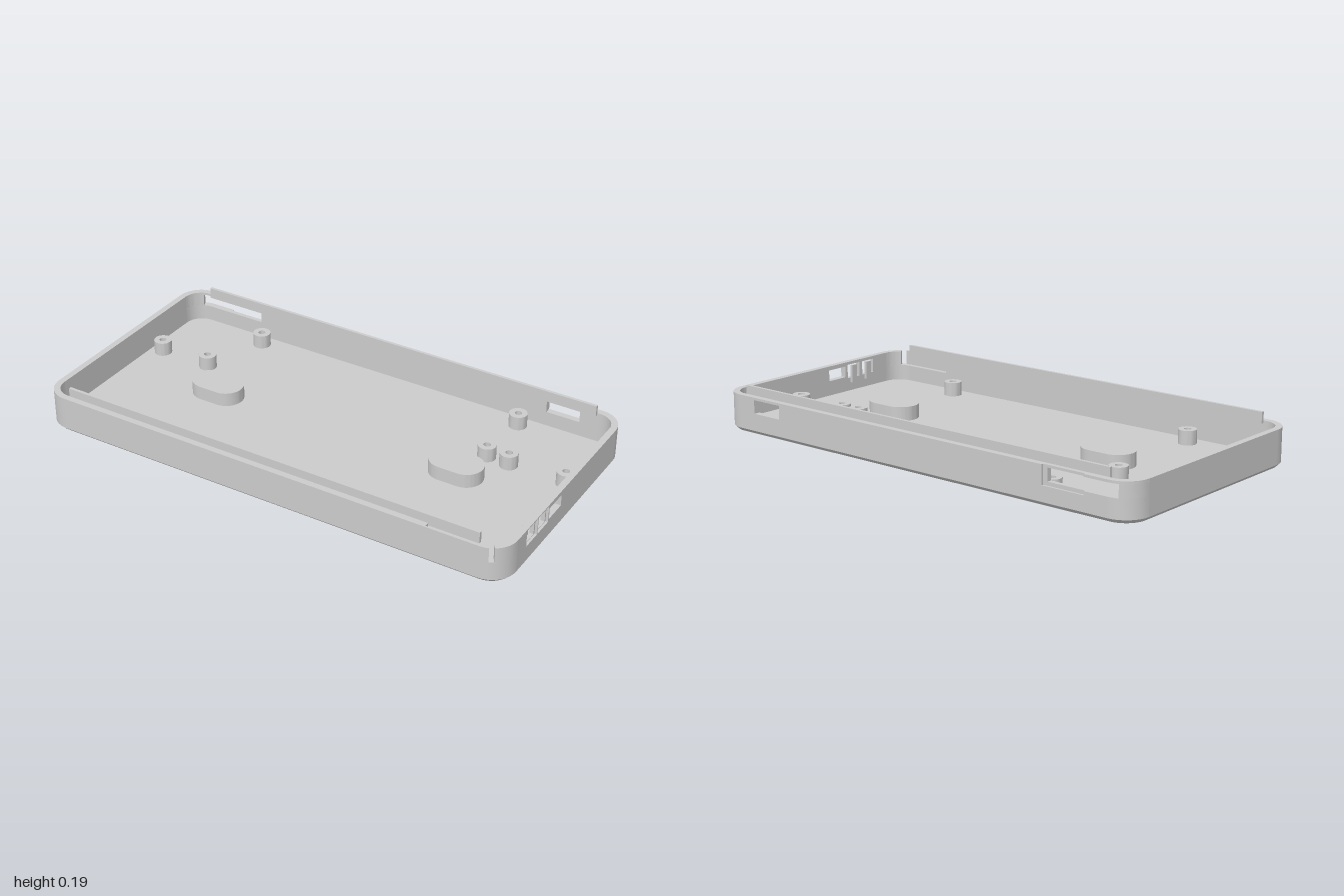
import * as THREE from 'three';
import { mergeGeometries, toCreasedNormals } from 'three/addons/utils/BufferGeometryUtils.js';

const CX = 0.9, CZ = 0.405, R = 0.1, T = 0.026; // corner centres, corner radius, wall thickness
const TOP = 0.15, FLOOR = 0.025, CHAMFER = 0.015;
const material = new THREE.MeshStandardMaterial({ color: 0xcccccc, side: THREE.DoubleSide });

function add(group, name, geometries) {
  const flat = geometries.map((g) => {
    const n = g.index ? g.toNonIndexed() : g;
    n.deleteAttribute('uv');
    return n;
  });
  const mesh = new THREE.Mesh(toCreasedNormals(mergeGeometries(flat), 0.5), material);
  mesh.name = name;
  group.add(mesh);
}

// Plan shape (x, z) raised from y0 to y1
function slab(shape, y0, y1) {
  const g = new THREE.ExtrudeGeometry(shape, { depth: y1 - y0, bevelEnabled: false, curveSegments: 14 });
  return g.rotateX(Math.PI / 2).translate(0, y1, 0);
}

function box(x0, x1, y0, y1, z0, z1) {
  return new THREE.BoxGeometry(x1 - x0, y1 - y0, z1 - z0)
    .translate((x0 + x1) / 2, (y0 + y1) / 2, (z0 + z1) / 2);
}

// Rounded outline of the tray for a given corner radius
function outline(r) {
  const pts = [];
  [[1, 1], [-1, 1], [-1, -1], [1, -1]].forEach(([sx, sz], q) => {
    for (let i = 0; i <= 10; i++) {
      const a = (q + i / 10) * Math.PI / 2;
      pts.push(new THREE.Vector2(sx * CX + r * Math.cos(a), sz * CZ + r * Math.sin(a)));
    }
  });
  return pts;
}

function circle(x, z, r) {
  return new THREE.Path().absarc(x, z, r, 0, Math.PI * 2);
}

function capsule(Kind, x, half, r) {
  const p = new Kind();
  p.absarc(x + half, 0, r, -Math.PI / 2, Math.PI / 2);
  p.absarc(x - half, 0, r, Math.PI / 2, Math.PI * 1.5);
  p.closePath();
  return p;
}

// Keyhole: a round entry with a narrower slot
function keyhole(x) {
  const r = 0.043, w = 0.02, a = Math.asin(w / r), p = new THREE.Path();
  p.absarc(x + 0.045, 0, r, -Math.PI + a, Math.PI - a);
  p.absarc(x - 0.05, 0, w, Math.PI / 2, Math.PI * 1.5);
  p.closePath();
  return p;
}

// Part of a curved corner wall, angles measured from the x axis
function cornerWall(sx, sz, a0, a1, y0, y1) {
  const pts = [], n = 10;
  const put = (r, a) => pts.push(new THREE.Vector2(sx * (CX + r * Math.cos(a)), sz * (CZ + r * Math.sin(a))));
  for (let i = 0; i <= n; i++) put(R, a0 + (a1 - a0) * i / n);
  for (let i = n; i >= 0; i--) put(R - T, a0 + (a1 - a0) * i / n);
  return slab(new THREE.Shape(pts), y0, y1);
}

// Straight wall layer from u = -half to half with rectangular openings [u0, u1, y0, y1]
function wallLayer(half, holes, makeBox) {
  const cuts = (lo, hi, k) => [...new Set([lo, hi, ...holes.flatMap((h) => [h[k], h[k + 1]])])].sort((a, b) => a - b);
  const us = cuts(-half, half, 0), ys = cuts(CHAMFER, TOP, 2), out = [];
  for (let i = 0; i < us.length - 1; i++) {
    for (let j = 0; j < ys.length - 1; j++) {
      const u = (us[i] + us[i + 1]) / 2, y = (ys[j] + ys[j + 1]) / 2;
      if (holes.some((h) => u > h[0] && u < h[1] && y > h[2] && y < h[3])) continue;
      out.push(makeBox(us[i], us[i + 1], ys[j], ys[j + 1]));
    }
  }
  return out;
}
const alongX = (z0, z1) => (u0, u1, y0, y1) => box(u0, u1, y0, y1, z0, z1);
const alongZ = (x0, x1) => (u0, u1, y0, y1) => box(x0, x1, y0, y1, u0, u1);

// Sloping band around the bottom edge
function chamferBand() {
  const low = outline(R - CHAMFER), high = outline(R), n = low.length, pos = [], idx = [];
  for (let i = 0; i < n; i++) {
    pos.push(low[i].x, 0, low[i].y, high[i].x, CHAMFER, high[i].y);
    const a = 2 * i, b = 2 * ((i + 1) % n);
    idx.push(a, a + 1, b, b, a + 1, b + 1);
  }
  const g = new THREE.BufferGeometry();
  g.setAttribute('position', new THREE.Float32BufferAttribute(pos, 3));
  g.setIndex(idx);
  g.computeVertexNormals();
  return g;
}

export function createModel() {
  const tray = new THREE.Group();
  tray.name = 'enclosureTray';
  const H = Math.PI / 2, ZO = CZ + R, ZI = ZO - T, XI = 1 - T;
  const posts = [[-0.6, -0.42], [0.59, -0.42], [-0.6, 0.41], [0.59, 0.41], [-0.915, -0.155],
    [-0.69, -0.155], [0.59, -0.16], [0.685, -0.155], [0.92, -0.155]];
  const pads = [-0.53, 0.545];

  // Floor with screw holes and keyholes; the lower layer also has round foot recesses
  const floorLayer = (y0, y1, feet) => {
    const s = new THREE.Shape(outline(R - CHAMFER));
    posts.forEach(([x, z]) => s.holes.push(circle(x, z, 0.026)));
    pads.forEach((x) => s.holes.push(keyhole(x)));
    if (feet) for (const x of [-0.805, 0.805]) for (const z of [-0.412, 0.412]) s.holes.push(circle(x, z, 0.068));
    return slab(s, y0, y1);
  };
  add(tray, 'floor', [floorLayer(0, 0.008, true), floorLayer(0.008, FLOOR, false)]);
  add(tray, 'bottomChamfer', [chamferBand()]);

  // Front wall with an inner pocket at one end
  add(tray, 'frontWall', [
    ...wallLayer(CX, [], alongX(0.498, ZO)),
    ...wallLayer(CX, [[0.69, CX, 0.09, TOP]], alongX(ZI, 0.498)),
  ]);

  // Back wall with two ports, one of them in an outer recess
  const ports = [[-CX, -0.64, 0.09, 0.14], [0.68, 0.82, 0.085, 0.14]];
  add(tray, 'backWall', [
    ...wallLayer(CX, [...ports, [-0.8, -0.62, 0.075, TOP]], alongX(-ZO, -0.497)),
    ...wallLayer(CX, ports, alongX(-0.497, -ZI)),
  ]);

  // Side walls; the +x one has three ports, two sharing an outer recess
  const small = [0.06, 0.157, 0.087, 0.133];
  add(tray, 'portSideWall', [
    ...wallLayer(CZ, [small, [0.163, 0.246, 0.078, 0.146], [0.25, 0.335, 0.078, 0.146]], alongZ(0.99, 1)),
    ...wallLayer(CZ, [small, [0.17, 0.242, 0.08, 0.138], [0.258, 0.325, 0.08, 0.138]], alongZ(XI, 0.99)),
  ]);
  add(tray, 'plainSideWall', wallLayer(CZ, [], alongZ(-1, -XI)));
  add(tray, 'portRibs', [0.2, 0.285].map((z) => box(0.962, XI, 0.06, 0.135, z - 0.014, z + 0.014)));

  // Corners: two plain, one slit by the pocket, one cut by the long port
  const sliver = new THREE.Shape([[0.9, 0.498], [0.937, 0.498], [0.925, 0.5018], [0.912, 0.5043], [0.9, 0.505]]
    .map(([x, z]) => new THREE.Vector2(x, z)));
  add(tray, 'corners', [
    cornerWall(-1, 1, 0, H, CHAMFER, TOP),
    cornerWall(1, -1, 0, H, CHAMFER, TOP),
    cornerWall(1, 1, 0, H, CHAMFER, 0.09),
    cornerWall(1, 1, 0, Math.acos(0.55), 0.09, TOP),
    slab(sliver, 0.09, TOP),
    cornerWall(-1, -1, 0, H, CHAMFER, 0.09),
    cornerWall(-1, -1, 0, Math.acos(0.4), 0.09, 0.14),
    cornerWall(-1, -1, 0, H, 0.14, TOP),
  ]);

  // Locating lips along the long walls
  add(tray, 'frontLip', [box(-0.89, 0.89, 0.14, 0.185, 0.467, ZI + 0.0005)]);
  add(tray, 'backLip', [box(-0.89, 0.89, 0.14, 0.185, -ZI - 0.0005, -0.467)]);

  // Hollow screw posts with a wide bore from below
  const profile = [[0.026, 0], [0.026, 0.05], [0.014, 0.05], [0.014, 0.082], [0.036, 0.082], [0.036, FLOOR]]
    .map(([r, y]) => new THREE.Vector2(r, y));
  posts.forEach(([x, z]) => add(tray, 'screwPost', [new THREE.LatheGeometry(profile, 28).translate(x, 0, z)]));

  // Hollow covers over the keyholes
  pads.forEach((x) => {
    const ring = capsule(THREE.Shape, x, 0.04, 0.07);
    ring.holes.push(capsule(THREE.Path, x, 0.04, 0.058));
    add(tray, 'keyholeCover', [slab(ring, FLOOR, 0.07), slab(capsule(THREE.Shape, x, 0.04, 0.07), 0.07, 0.082)]);
  });

  return tray;
}
